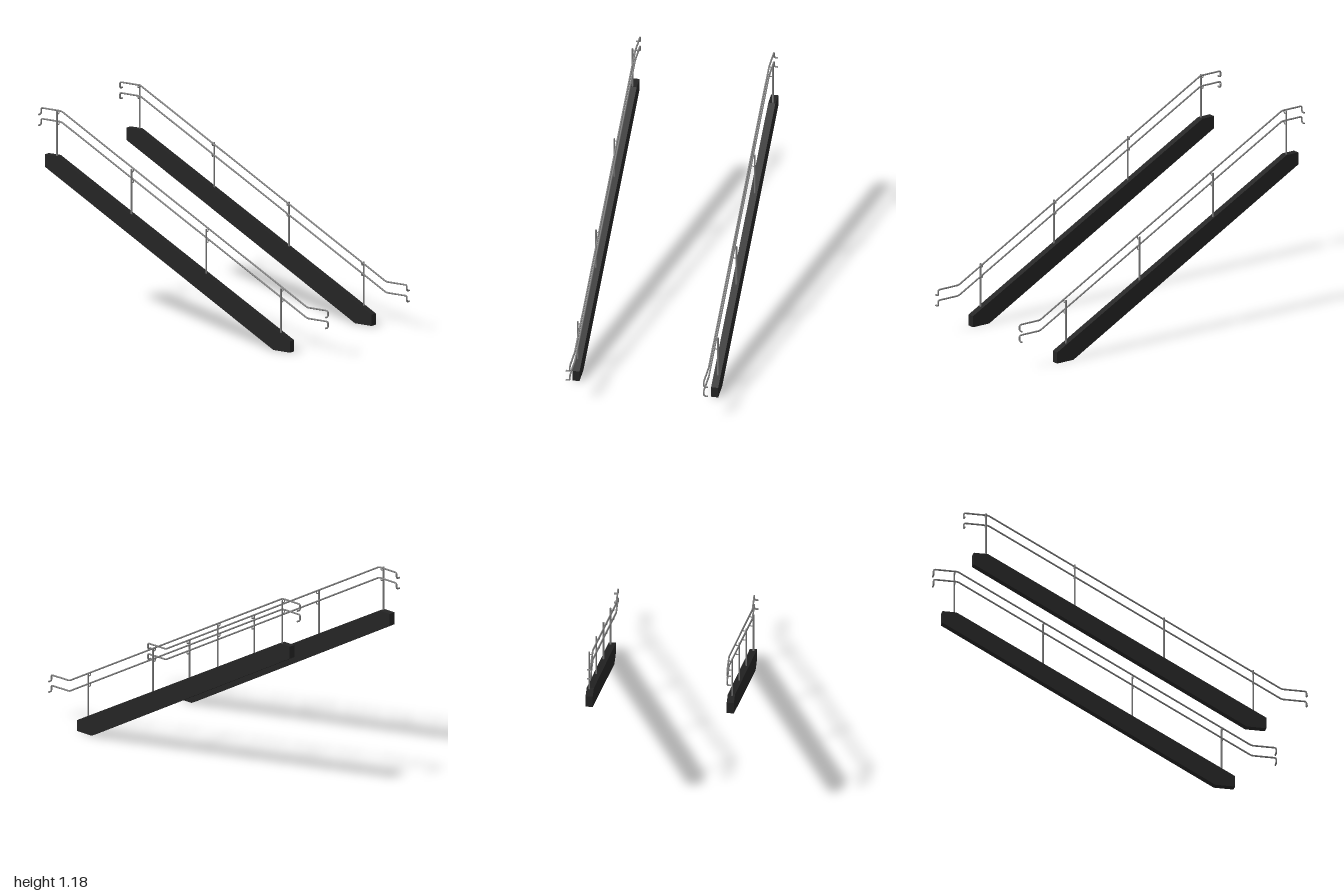
import * as THREE from 'three';
import { mergeGeometries } from 'three/addons/utils/BufferGeometryUtils.js';

const V = (x, y, z) => new THREE.Vector3(x, y, z);

// Round bar through points, with every corner rounded off and both ends capped
function bar(points, radius, bend) {
  const pieces = [];
  const tube = (curve, steps) => pieces.push(new THREE.TubeGeometry(curve, steps, radius, 10));
  const cap = (at, from) => {
    const disc = new THREE.CircleGeometry(radius, 10);
    const dir = at.clone().sub(from).normalize();
    disc.applyQuaternion(new THREE.Quaternion().setFromUnitVectors(V(0, 0, 1), dir));
    pieces.push(disc.translate(at.x, at.y, at.z));
  };
  const last = points.length - 1;
  let start = points[0];
  for (let i = 1; i < last; i++) {
    const p = points[i];
    const a = p.clone().add(points[i - 1].clone().sub(p).setLength(bend));
    const b = p.clone().add(points[i + 1].clone().sub(p).setLength(bend));
    tube(new THREE.LineCurve3(start, a), 1);
    tube(new THREE.QuadraticBezierCurve3(a, p, b), 6);
    start = b;
  }
  tube(new THREE.LineCurve3(start, points[last]), 1);
  cap(points[0], points[1]);
  cap(points[last], points[last - 1]);
  return mergeGeometries(pieces);
}

export function createModel() {
  const group = new THREE.Group();
  const black = new THREE.MeshStandardMaterial({ color: 0x242424 });
  black.name = 'blackStringer';
  const steel = new THREE.MeshStandardMaterial({ color: 0x7c7c7c });
  steel.name = 'greySteel';

  const add = (parent, name, geometry, material) => {
    const mesh = new THREE.Mesh(geometry, material);
    mesh.name = name;
    parent.add(mesh);
  };

  // Heights of the sloping parts at a given z
  const railY = z => Math.min(1.18, 0.27 + (0.852 - z) * 0.533);
  const beamTopY = z => Math.min(0.922, 0.066 + (0.755 - z) * 0.529);

  for (const side of [1, -1]) {
    const flight = new THREE.Group();
    flight.name = side > 0 ? 'leftSide' : 'rightSide';
    const railX = side * 0.387, postX = side * 0.406;

    // Sloping stringer, cut level at the foot and the head
    const profile = new THREE.Shape([
      [-0.755, 0], [-0.64, 0], [0.945, 0.85], [0.945, 0.922], [0.863, 0.922], [-0.755, 0.066],
    ].map(([u, v]) => new THREE.Vector2(u, v)));
    const beam = new THREE.ExtrudeGeometry(profile, { depth: 0.041, bevelEnabled: false });
    beam.translate(0, 0, -0.0205).rotateY(Math.PI / 2).translate(side * 0.401, 0, 0);
    add(flight, 'stringer', beam, black);

    // Upper and lower handrails, with hooked ends turned outward
    for (const drop of [0, 0.063]) {
      const low = 0.27 - drop, high = 1.18 - drop;
      add(flight, drop ? 'lowerRail' : 'upperRail', bar([
        V(side * 0.41, low - 0.035, 0.995), V(railX, low - 0.035, 0.995),
        V(railX, low, 0.995), V(railX, low, 0.852),
        V(railX, high, -0.855), V(railX, high, -0.995),
        V(railX, high - 0.035, -0.995), V(side * 0.41, high - 0.035, -0.995),
      ], 0.005, 0.012), steel);
    }

    // Posts, each with a bent bracket under both rails
    for (const z of [0.682, 0.164, -0.355, -0.871]) {
      const top = railY(z);
      add(flight, 'post', bar([V(postX, beamTopY(z) - 0.01, z), V(postX, top, z)], 0.005, 0), steel);
      for (const drop of [0, 0.063]) {
        const y = top - drop;
        add(flight, 'railBracket', bar([
          V(railX, y, z), V(railX, y - 0.017, z), V(postX, y - 0.017, z),
        ], 0.003, 0.006), steel);
      }
    }
    group.add(flight);
  }
  return group;
}
